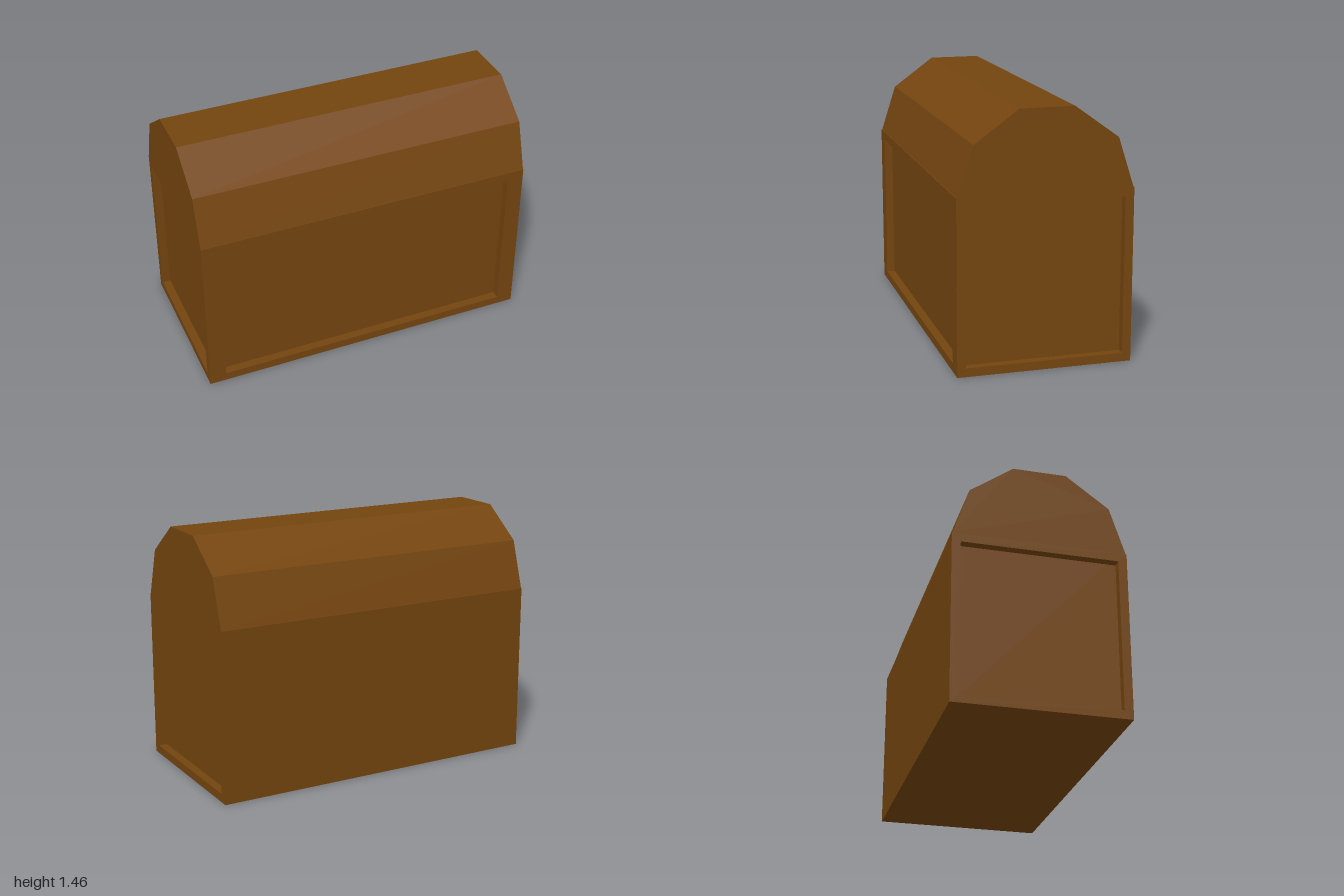
import * as THREE from 'three';

const DEPTH = 0.05; // depth of the recessed panels

// Rectangular frame with a window, extruded towards +z
function frameGeometry(halfWidth, halfOpening) {
  const rect = (Type, w, y0, y1) => new Type([
    new THREE.Vector2(-w, y0), new THREE.Vector2(w, y0),
    new THREE.Vector2(w, y1), new THREE.Vector2(-w, y1),
  ]);
  const shape = rect(THREE.Shape, halfWidth, 0, 1);
  shape.holes.push(rect(THREE.Path, halfOpening, 0.05, 0.95));
  return new THREE.ExtrudeGeometry(shape, { depth: DEPTH, bevelEnabled: false });
}

export function createModel() {
  const group = new THREE.Group();
  group.name = 'chest';
  const wood = new THREE.MeshStandardMaterial({ color: 0x74450f, flatShading: true });
  const add = (name, geometry) => {
    const mesh = new THREE.Mesh(geometry, wood);
    mesh.name = name;
    group.add(mesh);
    return mesh;
  };

  // Solid body whose front and ends form the recessed panels; its back is flat
  add('body', new THREE.BoxGeometry(1.9, 1, 0.95)).position.set(0, 0.5, -0.025);

  // Raised frames around the front and end panels
  add('frontFrame', frameGeometry(0.95, 0.9)).position.z = 0.45;
  for (const side of [1, -1]) {
    const frame = add(side > 0 ? 'leftFrame' : 'rightFrame', frameGeometry(0.5, 0.45));
    frame.rotation.y = side * Math.PI / 2;
    frame.position.x = side * 0.95;
  }

  // Barrel lid: upper half of a ten-sided prism, cut off at the body's top
  const profile = [new THREE.Vector2(0.495, 1)];
  for (let i = 1; i < 5; i++) {
    const a = i * Math.PI / 5;
    profile.push(new THREE.Vector2(0.5 * Math.cos(a), 0.987 + 0.5 * Math.sin(a)));
  }
  profile.push(new THREE.Vector2(-0.495, 1));
  const lid = new THREE.ExtrudeGeometry(new THREE.Shape(profile), { depth: 2, bevelEnabled: false });
  lid.translate(0, 0, -1).rotateY(Math.PI / 2);
  add('lid', lid);

  return group;
}
